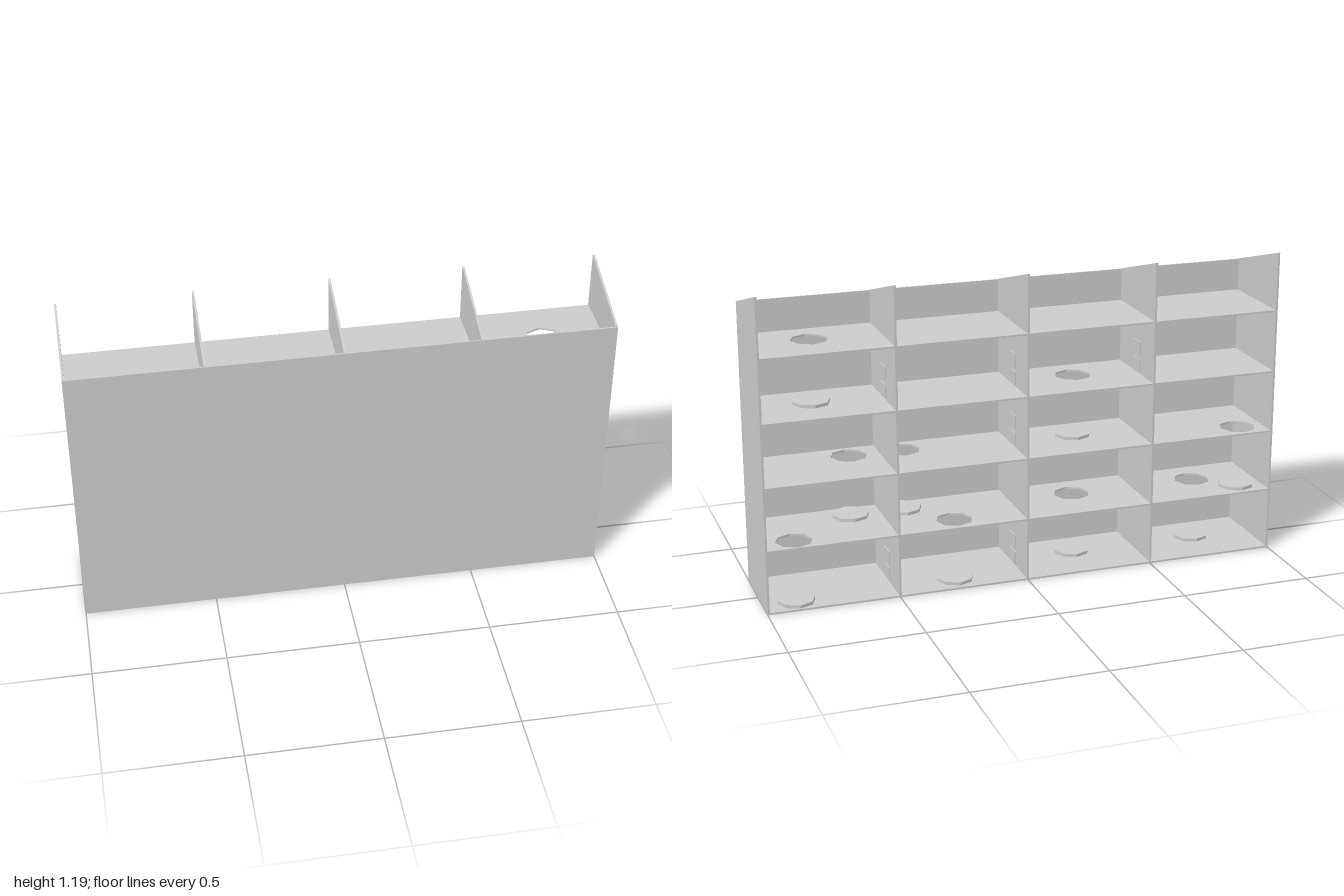
import * as THREE from 'three';

const material = new THREE.MeshStandardMaterial({ color: 0xcccccc, flatShading: true });

const BACK = -0.17, FRONT = 0.17, PANEL = 0.006;
const INNER = FRONT - PANEL;           // inside face of the closed front
const WALL = 0.008, BOARD = 0.007;     // thickness of uprights and shelves
const PITCH = 0.24, RADIUS = 0.07;

// Octagonal openings: shelf level, x, z
const openings = [
  [4, 0.77, 0.02],
  [3, -0.25, 0.035],
  [2, 0.62, 0.08], [2, 0.415, 0.08], [2, -0.89, -0.085],
  [1, 0.877, -0.095], [1, 0.262, -0.082], [1, -0.25, 0.035], [1, -0.755, 0.03],
];

// Small square plates on the uprights: upright x, shelf level
const platePairs = [[0.5, 3], [0.5, 0], [0, 3], [0, 2], [0, 0], [-0.5, 3]];

export function createModel() {
  const group = new THREE.Group();
  const add = (name, geometry, x = 0, y = 0, z = 0) => {
    const mesh = new THREE.Mesh(geometry, material);
    mesh.name = name;
    mesh.position.set(x, y, z);
    group.add(mesh);
  };

  // Closed front
  add('frontPanel', new THREE.BoxGeometry(2, 1.09, PANEL), 0, 0.545, FRONT - PANEL / 2);

  // Uprights with a sloping top, higher at the open back
  const profile = new THREE.Shape([
    new THREE.Vector2(-INNER, 0), new THREE.Vector2(-BACK, 0),
    new THREE.Vector2(-BACK, 1.19), new THREE.Vector2(-INNER, 1.092),
  ]);
  const upright = new THREE.ExtrudeGeometry(profile, { depth: WALL, bevelEnabled: false });
  upright.rotateY(Math.PI / 2).translate(-WALL / 2, 0, 0);
  for (const x of [-1 + WALL / 2, -0.5, 0, 0.5, 1 - WALL / 2]) {
    add(Math.abs(x) > 0.9 ? 'sidePanel' : 'divider', upright, x);
  }

  // Shelves, pierced by the octagonal openings
  const w = 1 - WALL / 2;
  for (let level = 0; level < 5; level++) {
    const shape = new THREE.Shape([
      new THREE.Vector2(-w, BACK), new THREE.Vector2(w, BACK),
      new THREE.Vector2(w, INNER), new THREE.Vector2(-w, INNER),
    ]);
    for (const [l, x, z] of openings) {
      if (l !== level) continue;
      const corners = [];
      for (let i = 0; i < 8; i++) {
        const a = -i * Math.PI / 4;
        corners.push(new THREE.Vector2(x + RADIUS * Math.cos(a), z + RADIUS * Math.sin(a)));
      }
      shape.holes.push(new THREE.Path(corners));
    }
    const board = new THREE.ExtrudeGeometry(shape, { depth: BOARD, bevelEnabled: false });
    board.rotateX(Math.PI / 2);
    add(level ? 'shelf' : 'base', board, 0, level * PITCH + BOARD, 0);
  }

  // Octagonal discs on the shelf under each opening
  const disc = new THREE.CylinderGeometry(RADIUS, RADIUS, 0.012, 8);
  for (const [level, x, z] of openings) {
    add('disc', disc, x, (level - 1) * PITCH + BOARD + 0.006, z);
  }

  // Pairs of square plates showing on both faces of a divider
  const plate = new THREE.BoxGeometry(WALL + 0.008, 0.05, 0.065);
  for (const [x, level] of platePairs) {
    for (const h of [0.04, 0.108]) add('wallPlate', plate, x, level * PITCH + h, -0.01);
  }

  return group;
}
